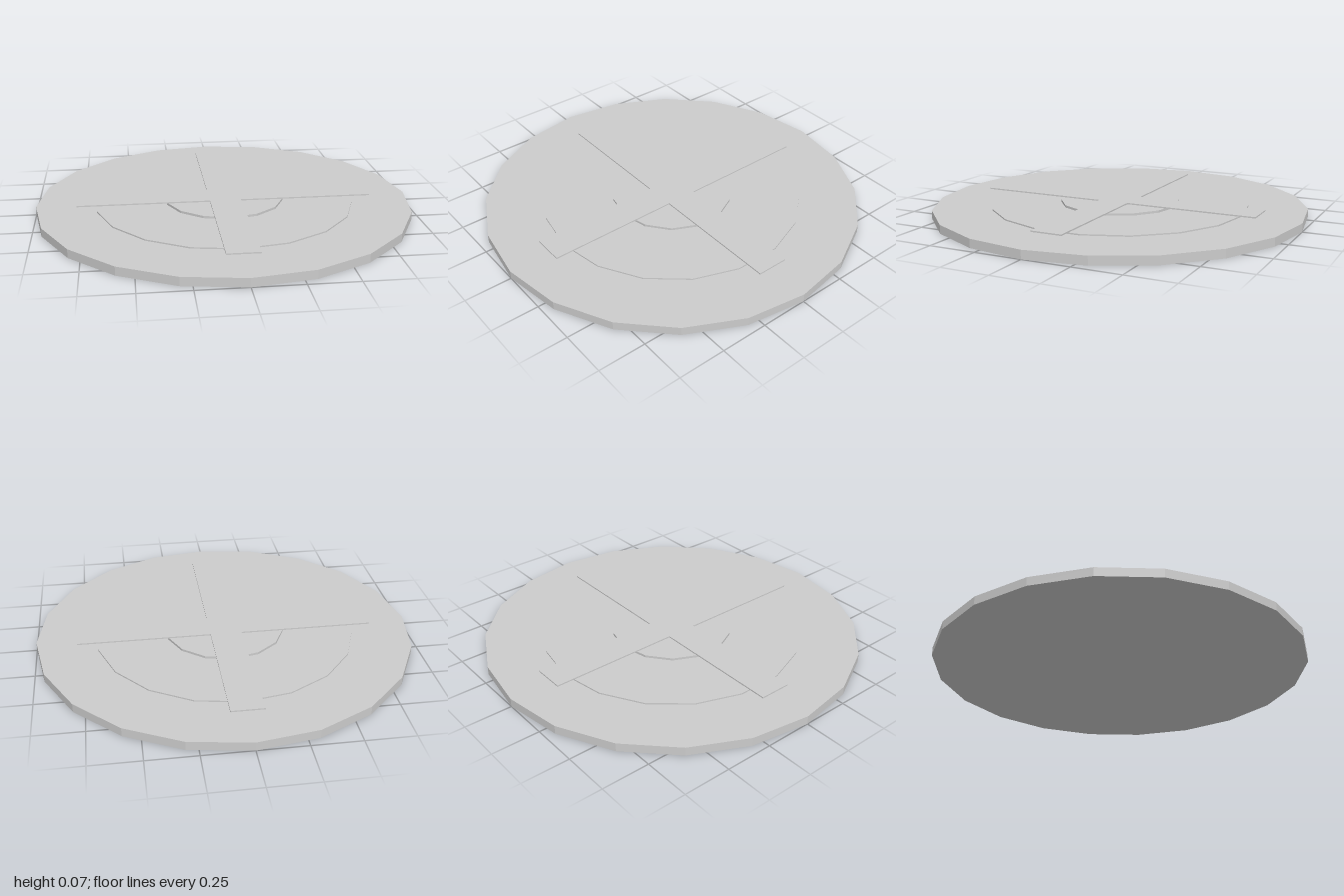
import * as THREE from 'three';

export function createModel() {
  const model = new THREE.Group();
  const material = new THREE.MeshStandardMaterial({ color: 0xcccccc, flatShading: true });

  const add = (name, geometry, y) => {
    const mesh = new THREE.Mesh(geometry, material);
    mesh.name = name;
    mesh.position.y = y;
    model.add(mesh);
  };

  // Stacked faceted discs: name, radius, sides, bottom, top
  const discs = [
    ['base', 1, 20, 0, 0.045],
    ['middleDisc', 0.69, 18, 0.045, 0.052],
    ['hubDisc', 0.318, 14, 0.052, 0.064],
  ];
  for (const [name, radius, sides, bottom, top] of discs) {
    add(name, new THREE.CylinderGeometry(radius, radius, top - bottom, sides), (bottom + top) / 2);
  }

  // Thin one-piece cross lying on the hub, its arms overhanging the discs
  const reach = 0.785, half = 0.083;
  const outline = [];
  for (let i = 0; i < 4; i++) {
    for (const [x, y] of [[half, -half], [reach, -half], [reach, half]]) {
      outline.push(new THREE.Vector2(x, y).rotateAround(new THREE.Vector2(), i * Math.PI / 2));
    }
  }
  const cross = new THREE.ExtrudeGeometry(new THREE.Shape(outline), { depth: 0.007, bevelEnabled: false });
  cross.rotateX(-Math.PI / 2);
  add('cross', cross, 0.064);

  return model;
}
